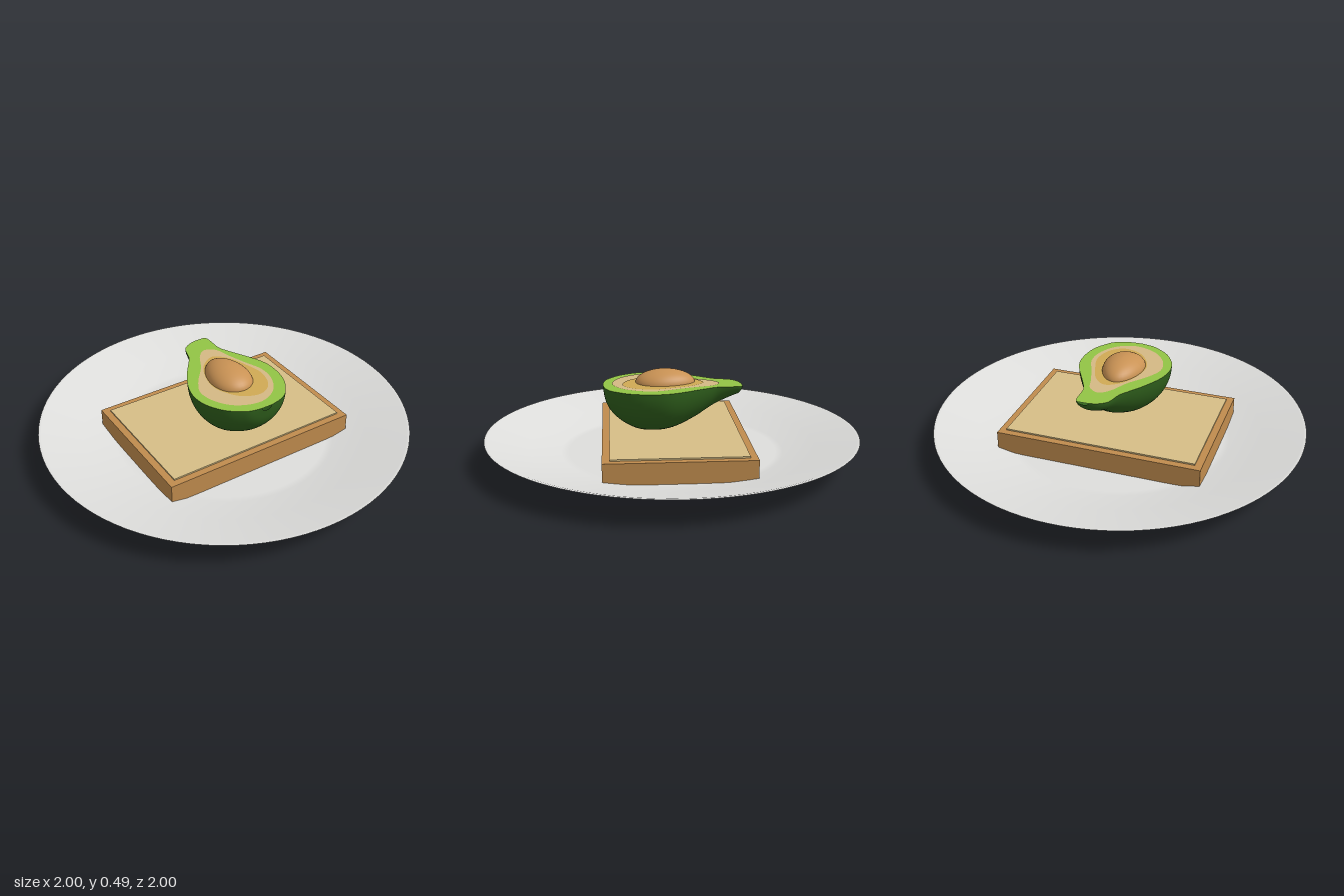
import * as THREE from 'three';

const mat = (name, color, side = THREE.FrontSide) => {
  const m = new THREE.MeshStandardMaterial({ color, side });
  m.name = name;
  return m;
};

export function createModel() {
  const model = new THREE.Group();
  model.name = 'avocadoToastPlate';

  const china = mat('china', 0xdededc, THREE.DoubleSide);
  const crust = mat('crust', 0xc08c4e);
  const crumb = mat('crumb', 0xd6be86);
  const skin = mat('skin', 0x2f5f1c, THREE.DoubleSide);
  const green = mat('greenFlesh', 0x92c445);
  const pale = mat('paleFlesh', 0xd4b884);
  const yellow = mat('yellowFlesh', 0xd0aa54);
  const stone = mat('stone', 0xc99254);

  const add = (name, geometry, material, x = 0, y = 0, z = 0, parent = model) => {
    const mesh = new THREE.Mesh(geometry, material);
    mesh.name = name;
    mesh.position.set(x, y, z);
    parent.add(mesh);
    return mesh;
  };

  // Plate: separate lathed surfaces keep the foot edges sharp
  const plate = new THREE.Group();
  plate.name = 'plate';
  model.add(plate);
  const profiles = {
    footBase: [[0, 0], [0.592, 0]],
    footWall: [[0.592, 0], [0.568, 0.041]],
    plateUnderside: [[0.568, 0.041], [0.61, 0.041], [1, 0.145]],
    plateTop: [[1, 0.145], [0.985, 0.146], [0.77, 0.088], [0.6, 0.047], [0.56, 0.045], [0, 0.045]],
  };
  for (const [name, pts] of Object.entries(profiles)) {
    const geo = new THREE.LatheGeometry(pts.map(([r, y]) => new THREE.Vector2(r, y)), 96);
    add(name, geo, china, 0, 0, 0, plate);
  }

  // Slice of bread: crust block with a paler raised top
  add('breadCrust', new THREE.BoxGeometry(1.1, 0.121, 0.765), crust, 0, 0.0965, -0.005);
  add('breadCrumb', new THREE.BoxGeometry(1.025, 0.009, 0.69), crumb, 0, 0.1605, -0.005);

  // Avocado half: stations along z as [z, left x, right x, depth]
  const avocado = new THREE.Group();
  avocado.name = 'avocado';
  avocado.position.y = 0.415;
  model.add(avocado);
  const stations = [
    [-0.366, 0.04, 0.1, 0.012], [-0.35, -0.01, 0.113, 0.045], [-0.315, -0.05, 0.115, 0.065],
    [-0.235, -0.075, 0.117, 0.105], [-0.18, -0.112, 0.14, 0.14], [-0.12, -0.155, 0.172, 0.18],
    [-0.03, -0.208, 0.22, 0.225], [0.04, -0.235, 0.245, 0.245], [0.11, -0.245, 0.25, 0.25],
    [0.18, -0.235, 0.242, 0.242], [0.24, -0.207, 0.222, 0.215], [0.29, -0.17, 0.19, 0.18],
    [0.33, -0.12, 0.155, 0.135], [0.355, -0.075, 0.105, 0.085], [0.368, -0.01, 0.045, 0.02],
  ];
  const edge = (k) => new THREE.CatmullRomCurve3(
    stations.map((s) => new THREE.Vector3(s[k], s[3], s[0])), false, 'catmullrom').getPoints(56);
  const left = edge(1), right = edge(2);

  // Skin: half ellipses lofted along z
  const sides = 28, positions = [], index = [];
  left.forEach((l, i) => {
    const r = right[i], cx = (l.x + r.x) / 2, hw = (r.x - l.x) / 2;
    for (let j = 0; j <= sides; j++) {
      const a = Math.PI * j / sides;
      positions.push(cx - hw * Math.cos(a), -l.y * Math.sin(a), l.z);
      if (i < left.length - 1 && j < sides) {
        const p = i * (sides + 1) + j, q = p + sides + 1;
        index.push(p, p + 1, q, p + 1, q + 1, q);
      }
    }
  });
  const skinGeo = new THREE.BufferGeometry();
  skinGeo.setAttribute('position', new THREE.Float32BufferAttribute(positions, 3));
  skinGeo.setIndex(index);
  skinGeo.computeVertexNormals();
  add('avocadoSkin', skinGeo, skin, 0, 0, 0, avocado);

  // Cut face: flat layers stacked a hair apart
  const layer = (name, pts, material, y) => {
    const geo = new THREE.ShapeGeometry(new THREE.Shape(pts));
    geo.rotateX(-Math.PI / 2);
    add(name, geo, material, 0, y, 0, avocado);
  };
  const smoothLoop = (pts) => new THREE.CatmullRomCurve3(
    pts.map(([x, z]) => new THREE.Vector3(x, -z, 0)), true).getPoints(60)
    .slice(0, -1).map((p) => new THREE.Vector2(p.x, p.y));
  const outline = [...left, ...[...right].reverse()].map((p) => new THREE.Vector2(p.x, -p.z));
  layer('greenCutFace', outline, green, 0);
  layer('paleFleshRing', smoothLoop([
    [0.03, -0.25], [-0.02, -0.21], [-0.075, -0.11], [-0.16, 0], [-0.2, 0.09], [-0.175, 0.2],
    [-0.1, 0.285], [0.02, 0.32], [0.12, 0.275], [0.18, 0.18], [0.19, 0.08], [0.15, -0.03],
    [0.115, -0.13], [0.085, -0.22],
  ]), pale, 0.003);
  layer('yellowFleshRing', smoothLoop([
    [0.03, -0.165], [-0.05, -0.12], [-0.1, -0.03], [-0.12, 0.08], [-0.09, 0.17], [-0.03, 0.24],
    [0.06, 0.265], [0.13, 0.22], [0.165, 0.11], [0.14, 0], [0.095, -0.11],
  ]), yellow, 0.006);

  // Stone: egg shape, narrower towards the stem end
  const egg = new THREE.SphereGeometry(1, 36, 24);
  const pos = egg.attributes.position;
  for (let i = 0; i < pos.count; i++) {
    const z = pos.getZ(i), taper = 1 + 0.16 * z;
    pos.setXYZ(i, pos.getX(i) * 0.11 * taper, pos.getY(i) * 0.075, z * 0.16);
  }
  egg.computeVertexNormals();
  add('avocadoStone', egg, stone, -0.003, 0, 0.037, avocado);

  return model;
}
